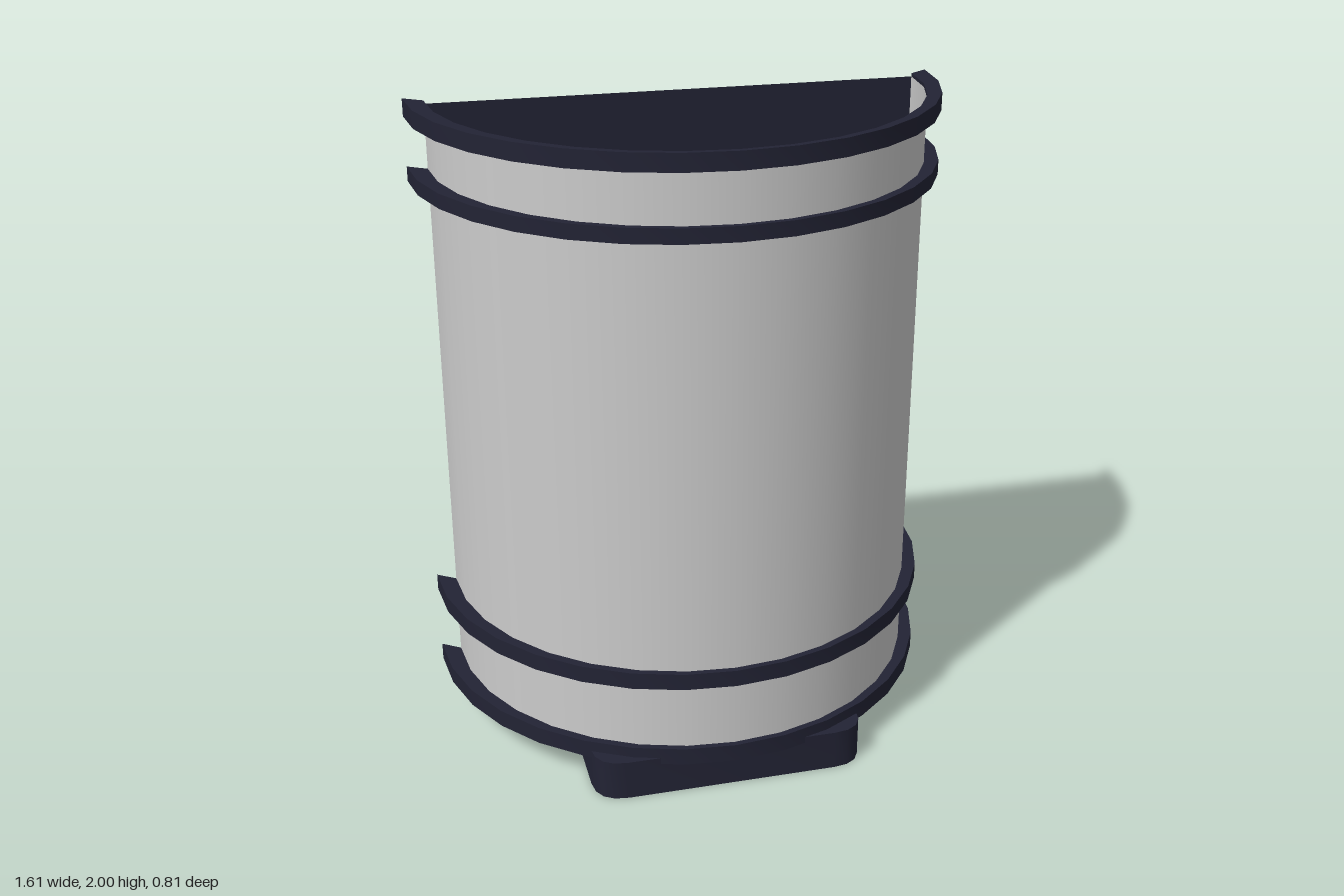
import * as THREE from 'three';
import { toCreasedNormals } from 'three/addons/utils/BufferGeometryUtils.js';

const SEGMENTS = 16;
const SHELL_RADIUS = 0.747, SHELL_Z = -0.36; // half-round shell axis
const RING_RADIUS = 0.805, RING_Z = -0.4; // outer edge of the bands

export function createModel() {
  const model = new THREE.Group();
  const grey = new THREE.MeshStandardMaterial({ color: 0xcccccc, side: THREE.DoubleSide });
  const dark = new THREE.MeshStandardMaterial({ color: 0x222334, side: THREE.DoubleSide });

  const add = (name, geometry, material, y = 0, z = 0) => {
    const mesh = new THREE.Mesh(geometry, material);
    mesh.name = name;
    mesh.position.set(0, y, z);
    model.add(mesh);
  };

  // Extrudes a plan outline (x, z) upward from y = 0
  const extrudePlan = (shape, height) => {
    const geometry = new THREE.ExtrudeGeometry(shape, { depth: height, bevelEnabled: false, curveSegments: 4 });
    geometry.rotateX(Math.PI / 2).translate(0, height, 0);
    return toCreasedNormals(geometry, 0.5);
  };

  const arc = (radius, z) => Array.from({ length: SEGMENTS + 1 }, (_, i) => {
    const a = (i / SEGMENTS) * Math.PI;
    return new THREE.Vector2(radius * Math.cos(a), z + radius * Math.sin(a));
  });

  // Half-round shell, open at top and bottom
  const shellBottom = 0.11, shellTop = 1.99, shellHeight = shellTop - shellBottom;
  const middle = (shellBottom + shellTop) / 2;
  add('shell', new THREE.CylinderGeometry(SHELL_RADIUS, SHELL_RADIUS, shellHeight, SEGMENTS, 1, true, -Math.PI / 2, Math.PI),
    grey, middle, SHELL_Z);

  // Thin flat back panel
  add('backPanel', new THREE.PlaneGeometry(SHELL_RADIUS * 2, shellHeight), dark, middle, SHELL_Z);

  // Crescent bands, thicker toward their ends
  const crescent = new THREE.Shape([...arc(RING_RADIUS, RING_Z), ...arc(SHELL_RADIUS, SHELL_Z).reverse()]);
  const bands = [
    ['bottomRim', 0.107, 0.055],
    ['lowerBand', 0.373, 0.053],
    ['upperBand', 1.753, 0.045],
    ['topRim', 1.947, 0.053],
  ];
  for (const [name, y, height] of bands) add(name, extrudePlan(crescent, height), dark, y);

  // Base block with rounded front corners
  const w = 0.427, front = 0.368, back = -0.41, r = 0.1;
  const plan = new THREE.Shape();
  plan.moveTo(-w, back);
  plan.lineTo(w, back);
  plan.lineTo(w, front - r);
  plan.quadraticCurveTo(w, front, w - r, front);
  plan.lineTo(-w + r, front);
  plan.quadraticCurveTo(-w, front, -w, front - r);
  plan.closePath();
  add('base', extrudePlan(plan, 0.128), dark);

  return model;
}
